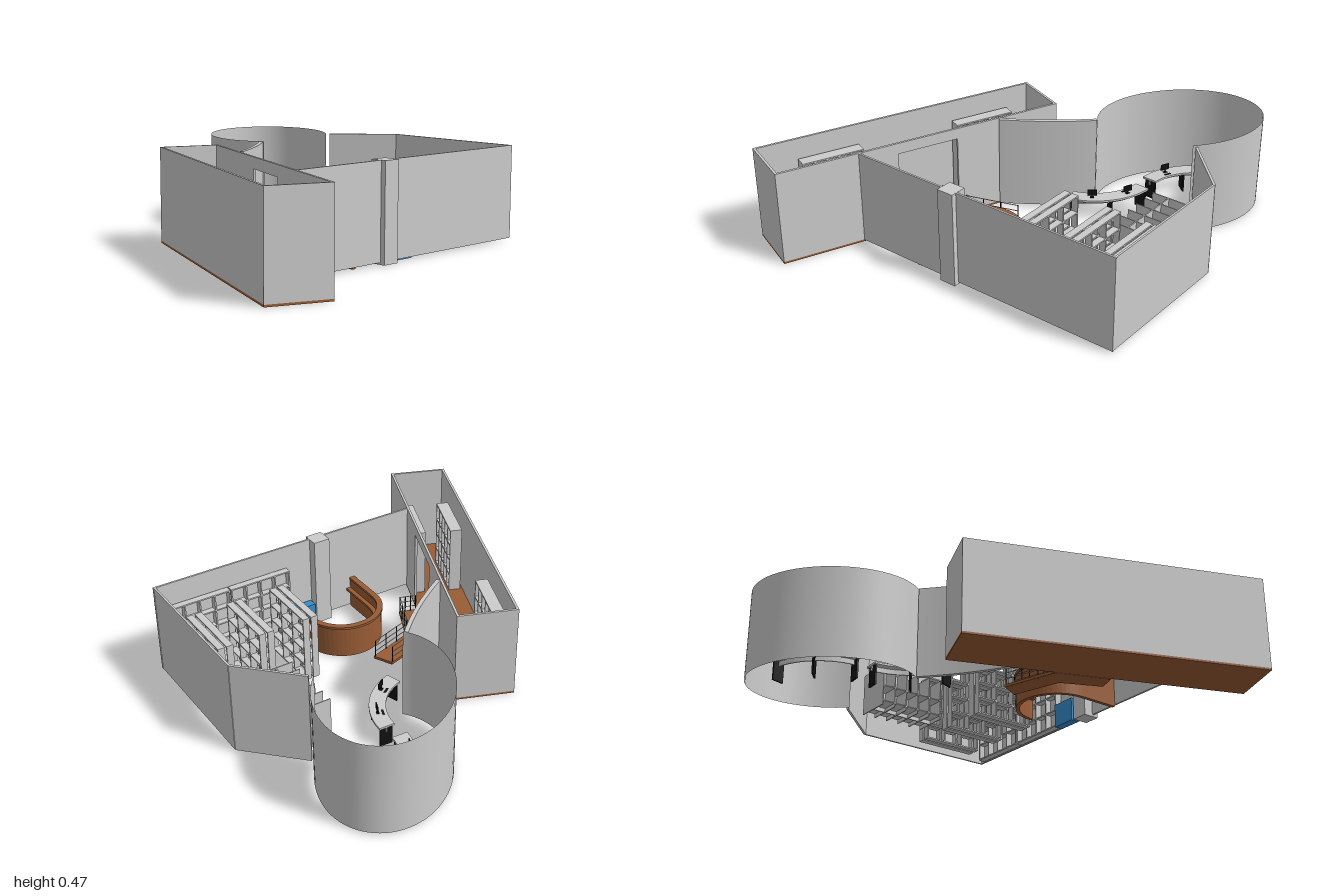
import * as THREE from 'three';

const H = 0.47, BASE = 0.01;
const mat = (color, side = THREE.FrontSide) => new THREE.MeshStandardMaterial({ color, side });
const grey = mat(0xcccccc), greyThin = mat(0xcccccc, THREE.DoubleSide);
const brown = mat(0x995c35), blue = mat(0x378ccc), black = mat(0x111111);

function add(parent, name, geo, material, x = 0, y = 0, z = 0) {
  const m = new THREE.Mesh(geo, material);
  m.name = name;
  m.position.set(x, y, z);
  parent.add(m);
  return m;
}
function group(parent, name, x = 0, y = 0, z = 0, ry = 0) {
  const g = new THREE.Group();
  g.name = name;
  g.position.set(x, y, z);
  g.rotation.y = ry;
  parent.add(g);
  return g;
}
// Box given by its centre in plan and its bottom height
const box = (parent, name, m, x, z, w, d, y0, h) =>
  add(parent, name, new THREE.BoxGeometry(w, h, d), m, x, y0 + h / 2, z);

// Upright slab between two plan points
function slab(parent, name, m, [x1, z1], [x2, z2], t, y0, h) {
  const s = box(parent, name, m, (x1 + x2) / 2, (z1 + z2) / 2, Math.hypot(x2 - x1, z2 - z1), t, y0, h);
  s.rotation.y = -Math.atan2(z2 - z1, x2 - x1);
  return s;
}
// Plan outline (x, z) raised to a solid
function raise(parent, name, m, pts, y0, h) {
  const shape = new THREE.Shape(pts.map(([x, z]) => new THREE.Vector2(x, -z)));
  const geo = new THREE.ExtrudeGeometry(shape, { depth: h, bevelEnabled: false });
  geo.rotateX(-Math.PI / 2);
  return add(parent, name, geo, m, 0, y0, 0);
}
const rad = THREE.MathUtils.degToRad;
function arc(cx, cz, r, a0, a1, n = 20) {
  return Array.from({ length: n + 1 }, (_, i) => {
    const a = rad(a0 + (a1 - a0) * i / n);
    return [cx + r * Math.cos(a), cz + r * Math.sin(a)];
  });
}
const ring = (cx, cz, r0, r1, a0, a1) => [...arc(cx, cz, r1, a0, a1), ...arc(cx, cz, r0, a1, a0)];

// Open bookcase along local x
function bookcase(parent, name, x, z, w, d, h, bays, shelves, ry = 0, back = 0) {
  const g = group(parent, name, x, BASE, z, ry), t = 0.007;
  for (let i = 0; i <= bays; i++)
    box(g, 'upright', grey, -w / 2 + t / 2 + (w - t) * i / bays, 0, t, d, 0, h);
  for (let i = 0; i <= shelves; i++)
    box(g, 'shelf', grey, 0, 0, w, d, (h - t) * i / shelves, t);
  if (back) box(g, 'backPanel', grey, 0, back * (d / 2 - 0.002), w, 0.004, 0, h);
}

function frontHall(root) {
  const L = 1.463, W = 0.294, t = 0.012, d0 = -0.18, d1 = 0.13;
  const g = group(root, 'frontHall', 0.2525, 0, 0.5175, -0.378);
  box(g, 'hallFloor', brown, 0, 0, L, W, 0, BASE);
  box(g, 'frontWall', grey, 0, W / 2 - t / 2, L, t, BASE, H - BASE);
  for (const s of [-1, 1]) box(g, 'endWall', grey, s * (L / 2 - t / 2), 0, t, W - 2 * t, BASE, H - BASE);
  // Rear wall with a wide doorway
  const zb = -W / 2 + t / 2;
  box(g, 'rearWallLeft', grey, (d0 - L / 2) / 2, zb, d0 + L / 2, t, BASE, H - BASE);
  box(g, 'rearWallRight', grey, (d1 + L / 2) / 2, zb, L / 2 - d1, t, BASE, H - BASE);
  box(g, 'doorLintel', grey, (d0 + d1) / 2, zb, d1 - d0, t, 0.415, H - 0.415);
  for (const [x, z, b] of [[-0.44, 0.092, 1], [0.382, -0.1, -1], [0.372, 0.092, 1]])
    bookcase(g, 'hallBookcase', x, z, 0.31, 0.062, 0.36, 5, 4, 0, b);
}

function outerWalls(root) {
  const g = group(root, 'outerWalls'), h = H - BASE;
  slab(g, 'sideWall', grey, [0.61, -0.935], [0.61, 0.5], 0.01, BASE, h);
  slab(g, 'backWall', grey, [-0.145, -0.928], [0.61, -0.928], 0.01, BASE, h);
  slab(g, 'diagonalWall', grey, [-0.145, -0.928], [-0.40, -0.682], 0.012, BASE, h);
  box(g, 'column', grey, 0.598, -0.047, 0.084, 0.086, 0, H);
  // Thin oval wall: a plane wrapped round an ellipse turned in plan
  const geo = new THREE.PlaneGeometry(1, h, 56, 1), p = geo.attributes.position;
  const ca = Math.cos(rad(39)), sa = Math.sin(rad(39));
  for (let i = 0; i < p.count; i++) {
    const a = rad(-84 - 268 * (p.getX(i) + 0.5));
    const u = 0.41 * Math.cos(a), v = 0.305 * Math.sin(a);
    p.setXYZ(i, -0.628 + u * ca - v * sa, p.getY(i) + BASE + h / 2, -0.45 + u * sa + v * ca);
  }
  geo.computeVertexNormals();
  add(g, 'ovalWall', geo, greyThin);
  // Curved entrance wall between the oval room and the hall
  const curve = new THREE.QuadraticBezierCurve(
    new THREE.Vector2(-0.35, -0.15), new THREE.Vector2(-0.19, 0.01), new THREE.Vector2(-0.065, 0.225));
  const outer = [], inner = [];
  for (let i = 0; i <= 14; i++) {
    const c = curve.getPoint(i / 14), n = curve.getTangent(i / 14);
    outer.push([c.x + n.y * 0.01, c.y - n.x * 0.01]);
    inner.unshift([c.x - n.y * 0.01, c.y + n.x * 0.01]);
  }
  raise(g, 'curvedWall', grey, [...outer, ...inner], BASE, h);
}

function shelving(root) {
  const g = group(root, 'shelving');
  for (const z of [-0.806, -0.595, -0.363])
    for (const s of [-1, 1]) bookcase(g, 'bookcaseRow', 0.302, z + s * 0.022, 0.327, 0.034, 0.345, 3, 4);
  for (const z of [-0.725, -0.395]) bookcase(g, 'wallBookcase', 0.58, z, 0.325, 0.036, 0.345, 4, 4, Math.PI / 2, 1);
  // Low double rack with tall dividers
  const r = group(g, 'displayRack', -0.127, BASE, -0.61);
  box(r, 'rackSpine', grey, 0, 0, 0.345, 0.006, 0, 0.21);
  for (let i = 0; i <= 5; i++) box(r, 'rackDivider', grey, -0.17 + 0.068 * i, 0, 0.005, 0.18, 0, 0.21);
  for (const y of [0.02, 0.1]) box(r, 'rackShelf', grey, 0, 0, 0.345, 0.18, y, 0.005);
}

// U-shaped counter: high outer ledge and lower inner desk
function counter(root) {
  const g = group(root, 'counter'), cx = 0.395, cz = -0.035, end = 0.605;
  const band = (r0, r1) => [[end, cz + r1], ...arc(cx, cz, r1, 90, 270, 28),
    ...arc(cx, cz, r0, 270, 90, 28), [end, cz + r0]];
  raise(g, 'counterFront', brown, band(0.178, 0.197), 0, 0.16);
  raise(g, 'counterLedge', brown, band(0.174, 0.204), 0.16, 0.012);
  raise(g, 'counterDesk', brown, band(0.155, 0.178), 0.1, 0.012);
  box(g, 'blueCabinet', blue, 0.575, -0.165, 0.045, 0.13, 0, 0.12);
}

// Entrance ramp with thin railings on its two open sides
function ramp(root) {
  const g = group(root, 'ramp');
  raise(g, 'rampFloor', brown,
    [[0.03, 0.025], [0.125, -0.02], [0.2, 0.22], [0.395, 0.31], [0.365, 0.4], [0.11, 0.3]], 0, 0.014);
  for (const path of [[[0.035, 0.03], [0.115, 0.29]], [[0.123, -0.012], [0.197, 0.224], [0.39, 0.313], [0.362, 0.39]]])
    for (let i = 0; i + 1 < path.length; i++) {
      const [a, b] = [path[i], path[i + 1]];
      for (const y of [0.04, 0.07, 0.1]) slab(g, 'rail', grey, a, b, 0.003, y, 0.003);
      for (let k = 0; k <= 3; k++)
        box(g, 'railPost', black, a[0] + (b[0] - a[0]) * k / 3, a[1] + (b[1] - a[1]) * k / 3, 0.004, 0.004, 0, 0.103);
    }
}

// Curved computer desks on black panels
function desks(root) {
  for (const [cx, cz, a0, a1] of [[-0.55, -0.64, 93, 168.5], [-0.495, -0.03, -88, -16]]) {
    const g = group(root, 'curvedDesk');
    raise(g, 'deskTop', grey, ring(cx, cz, 0.272, 0.35, a0, a1), 0.1, 0.01);
    raise(g, 'deskSkirt', grey, ring(cx, cz, 0.308, 0.314, a0, a1), 0.075, 0.025);
    for (const f of [0.03, 0.5, 0.97]) {
      const a = a0 + (a1 - a0) * f;
      const at = r => [cx + r * Math.cos(rad(a)), cz + r * Math.sin(rad(a))];
      slab(g, 'deskLeg', black, at(0.28), at(0.342), 0.008, 0, 0.1);
    }
    for (const f of [0.27, 0.73]) {
      const a = rad(a0 + (a1 - a0) * f);
      const s = group(g, 'computer', cx + 0.315 * Math.cos(a), 0.11, cz + 0.315 * Math.sin(a), Math.PI / 2 - a);
      box(s, 'monitorFoot', black, 0, 0, 0.02, 0.014, 0, 0.003);
      box(s, 'monitorStem', black, 0, 0, 0.005, 0.005, 0, 0.018);
      box(s, 'monitor', black, 0, 0.003, 0.046, 0.005, 0.014, 0.03);
      box(s, 'keyboard', black, 0, -0.024, 0.035, 0.01, 0, 0.002);
    }
  }
}

export function createModel() {
  const root = new THREE.Group();
  root.name = 'library';
  frontHall(root);
  outerWalls(root);
  shelving(root);
  counter(root);
  ramp(root);
  desks(root);
  return root;
}
